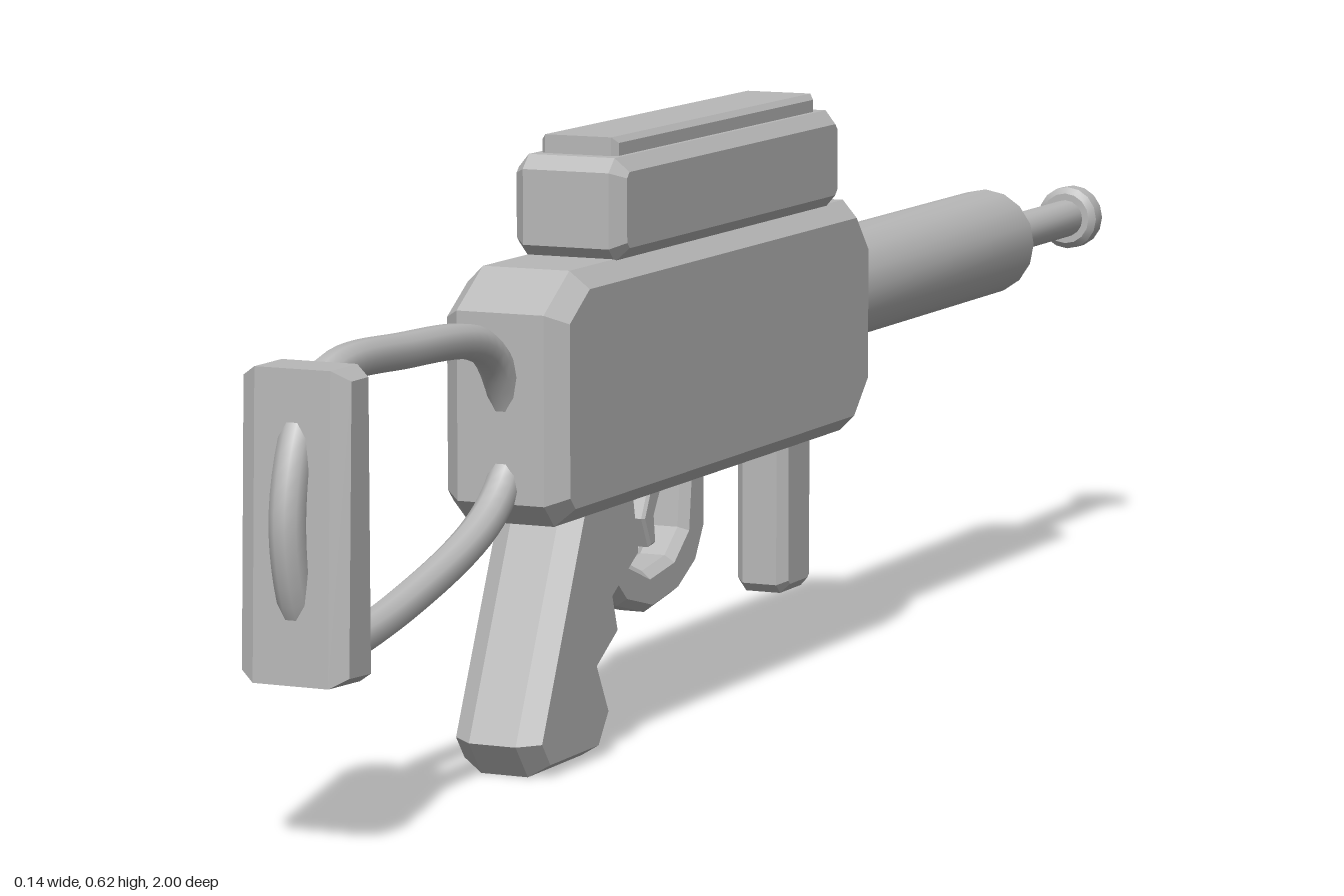
import * as THREE from 'three';
import { toCreasedNormals } from 'three/addons/utils/BufferGeometryUtils.js';

export function createModel() {
  const model = new THREE.Group();
  const grey = new THREE.MeshStandardMaterial({ color: 0xb8b8b8 });
  grey.name = 'grey';

  const add = (name, geometry) => {
    const mesh = new THREE.Mesh(geometry, grey);
    mesh.name = name;
    model.add(mesh);
  };

  // Side outline of [z, y] points, extruded across x with chamfered edges
  const slab = (name, outline, halfWidth, chamferX, inset = chamferX) => {
    const shape = new THREE.Shape(outline.map(([z, y]) => new THREE.Vector2(z, y)));
    const depth = 2 * (halfWidth - chamferX);
    const geometry = new THREE.ExtrudeGeometry(shape, {
      depth, bevelEnabled: true, bevelSegments: 1,
      bevelThickness: chamferX, bevelSize: inset, bevelOffset: -inset,
    });
    geometry.translate(0, 0, -depth / 2);
    geometry.rotateY(-Math.PI / 2);
    add(name, geometry);
  };

  // Turned part along z: profile of [radius, distance towards the muzzle]
  const turned = (name, profile, sides = 16) => {
    const lathe = new THREE.LatheGeometry(profile.map(([r, d]) => new THREE.Vector2(r, d)), sides);
    lathe.rotateX(-Math.PI / 2);
    lathe.translate(0, 0.398, 0);
    add(name, toCreasedNormals(lathe, 0.6));
  };

  const rect = (z0, z1, y0, y1) => [[z0, y0], [z1, y0], [z1, y1], [z0, y1]];

  // Receiver and top housing
  slab('body', [
    [0.54, 0.275], [0.54, 0.466], [0.482, 0.504], [-0.193, 0.504],
    [-0.235, 0.455], [-0.235, 0.3], [-0.187, 0.252], [0.518, 0.252],
  ], 0.068, 0.02, 0.018);
  slab('topHousing', [
    [-0.16, 0.515], [-0.146, 0.501], [0.378, 0.501], [0.392, 0.515],
    [0.392, 0.592], [0.378, 0.606], [-0.146, 0.606], [-0.16, 0.592],
  ], 0.062, 0.014);
  slab('topRail', rect(-0.13, 0.363, 0.595, 0.625), 0.043, 0.006);

  // Barrel
  turned('barrelSleeve', [
    [0, 0.2], [0.061, 0.2], [0.061, 0.715], [0.05, 0.727], [0, 0.727],
  ]);
  turned('barrel', [[0, 0.71], [0.022, 0.71], [0.022, 0.98], [0, 0.98]]);
  turned('muzzle', [
    [0, 0.966], [0.03, 0.966], [0.037, 0.973], [0.037, 0.993], [0.03, 1], [0, 1],
  ]);

  // Grips
  slab('pistolGrip', [
    [0.455, 0.27], [0.562, 0.035], [0.535, 0], [0.412, 0], [0.38, 0.043],
    [0.405, 0.09], [0.358, 0.118], [0.37, 0.155], [0.31, 0.19], [0.326, 0.27],
  ], 0.048, 0.022, 0.013);
  slab('frontGrip', [
    [-0.08, 0.27], [-0.08, 0.095], [-0.09, 0.085],
    [-0.145, 0.085], [-0.155, 0.095], [-0.155, 0.27],
  ], 0.03, 0.01);

  // Trigger and its guard
  slab('triggerGuard', [
    [0.107, 0.265], [0.107, 0.19], [0.13, 0.152], [0.175, 0.128], [0.24, 0.118],
    [0.305, 0.135], [0.35, 0.175], [0.345, 0.21], [0.3, 0.183], [0.245, 0.162],
    [0.19, 0.17], [0.158, 0.195], [0.15, 0.265],
  ], 0.024, 0.01, 0.008);
  slab('trigger', [
    [0.195, 0.265], [0.193, 0.243], [0.211, 0.215], [0.207, 0.185],
    [0.222, 0.183], [0.238, 0.215], [0.222, 0.245], [0.225, 0.265],
  ], 0.013, 0.003);

  // Wire stock, one bent loop passing through the shoulder plate
  const loop = [
    [0.75, 0.455], [0.9, 0.452], [0.95, 0.415], [0.98, 0.32], [0.95, 0.22],
    [0.9, 0.192], [0.73, 0.213], [0.56, 0.272], [0.515, 0.33], [0.538, 0.4], [0.58, 0.438],
  ].map(([z, y]) => new THREE.Vector3(0, y, z));
  add('stockLoop', new THREE.TubeGeometry(new THREE.CatmullRomCurve3(loop, true), 72, 0.018, 10, true));
  slab('shoulderPlate', [
    [0.915, 0.165], [0.978, 0.168], [0.968, 0.466], [0.915, 0.466],
  ], 0.057, 0.017, 0.01);

  return model;
}
